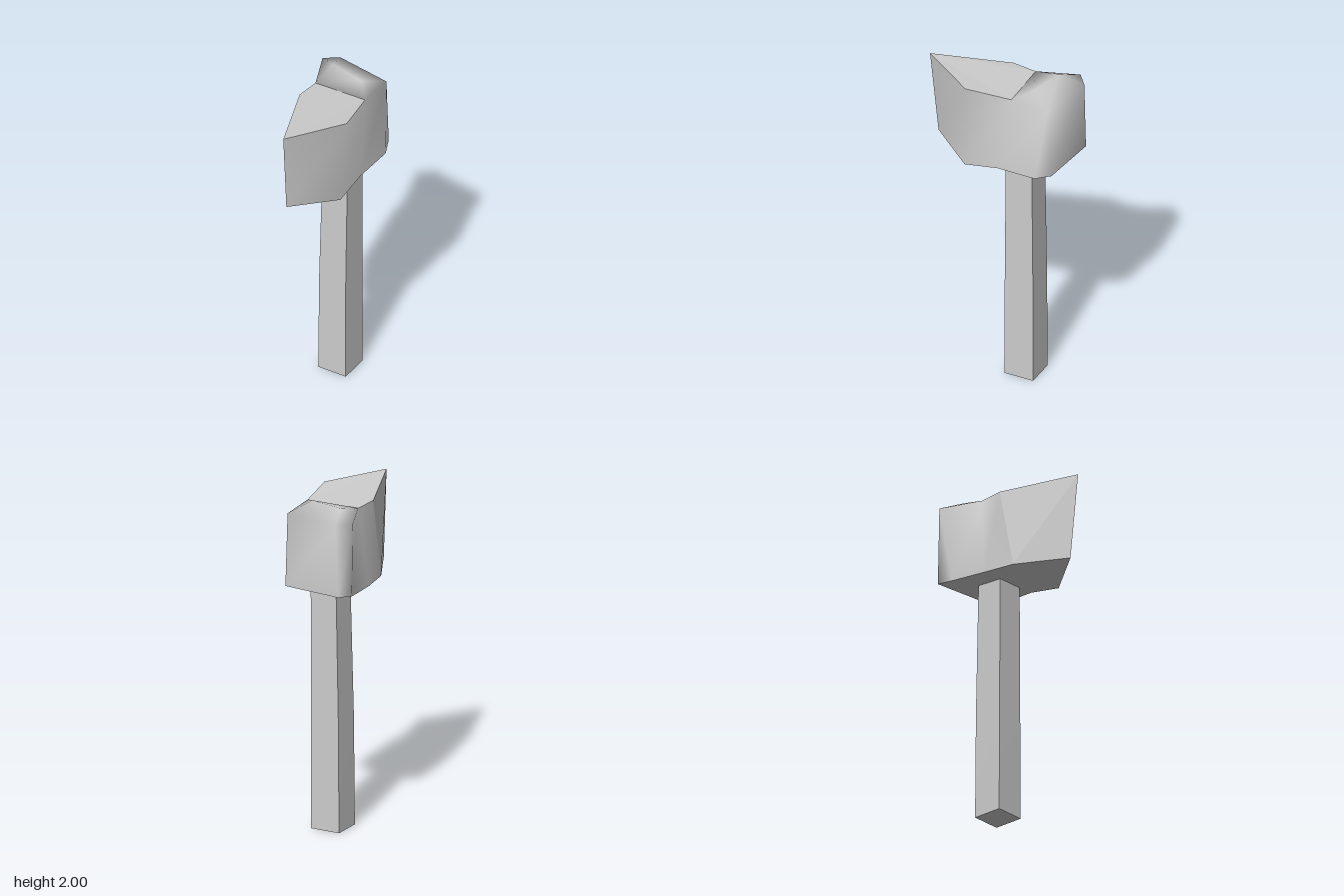
import * as THREE from 'three';
import { mergeVertices } from 'three/addons/utils/BufferGeometryUtils.js';

// Corners of the hammer head
const P = {
  // upper rim, from the front point round to the left
  tipT: [0.015, 1.995, 0.455], rT1: [0.235, 1.98, 0.115], rT2: [0.19, 1.96, -0.16], rT3: [0.19, 1.945, -0.395],
  backT: [-0.16, 1.945, -0.455], lT3: [-0.24, 1.95, -0.39], lT2: [-0.14, 1.96, -0.15], lT1: [-0.155, 1.965, 0],
  // rounded hump over the back
  humpR: [0.1, 2, -0.26], humpL: [-0.12, 2, -0.31],
  // lower rim
  tipB: [0.005, 1.475, 0.405], rB1: [0.205, 1.435, 0.135], rB2: [0.21, 1.475, -0.08], rB3: [0.225, 1.485, -0.33],
  rB4: [0.19, 1.51, -0.42], lB4: [-0.18, 1.51, -0.455], lB3: [-0.2, 1.485, -0.33], lB2: [-0.18, 1.475, -0.1],
  lB1: [-0.15, 1.475, 0.1],
};

// Builds a surface from polygons given as strings of corner names
function facets(polygons, smooth) {
  const pos = [];
  for (const polygon of polygons) {
    const c = polygon.split(' ').map((name) => P[name]);
    for (let i = 1; i < c.length - 1; i++) pos.push(...c[0], ...c[i], ...c[i + 1]);
  }
  let g = new THREE.BufferGeometry();
  g.setAttribute('position', new THREE.Float32BufferAttribute(pos, 3));
  if (smooth) g = mergeVertices(g);
  g.computeVertexNormals();
  return g;
}

export function createModel() {
  const model = new THREE.Group();
  model.name = 'hammer';
  const grey = new THREE.MeshStandardMaterial({ color: 0xcccccc });
  grey.name = 'plain grey';

  const add = (name, geometry, parent) => {
    const mesh = new THREE.Mesh(geometry, grey);
    mesh.name = name;
    parent.add(mesh);
  };

  // Head: flat top and underside, sharp front wedge, softly shaded back
  const head = new THREE.Group();
  head.name = 'head';
  model.add(head);
  add('headTop', facets(['tipT rT1 rT2 lT2 lT1'], false), head);
  add('headFrontLeft', facets(['lB1 tipB tipT lT1'], false), head);
  add('headBody', facets([
    'tipB rB1 rT1 tipT', 'rB1 rB2 rT2 rT1', 'rB2 rB3 rT3 rT2', 'rB3 rB4 rT3',
    'rB4 lB4 backT rT3',
    'lB4 lB3 lT3 backT', 'lB3 lB2 lT2 lT3', 'lB2 lB1 lT1 lT2',
    'rT2 rT3 humpR', 'rT3 backT humpL humpR', 'backT lT3 humpL', 'lT3 lT2 humpL', 'lT2 rT2 humpR humpL',
  ], true), head);
  add('headUnderside', facets([
    'tipB lB1 rB1', 'lB1 lB2 rB2 rB1', 'lB2 lB3 rB3 rB2', 'lB3 lB4 rB4 rB3',
  ], false), head);

  // Handle: square post that narrows a little and leans above its middle
  const handle = new THREE.BoxGeometry(1, 1, 1, 1, 2, 1);
  const rings = [
    { y: 0, x: 0.018, z: -0.168, w: 0.186, d: 0.186 },
    { y: 0.65, x: 0.02, z: -0.168, w: 0.18, d: 0.182 },
    { y: 1.5, x: 0.032, z: -0.171, w: 0.168, d: 0.168 },
  ];
  const p = handle.attributes.position;
  for (let i = 0; i < p.count; i++) {
    const r = rings[Math.round((p.getY(i) + 0.5) * 2)];
    p.setXYZ(i, r.x + p.getX(i) * r.w, r.y, r.z + p.getZ(i) * r.d);
  }
  handle.computeVertexNormals();
  add('handle', handle, model);

  return model;
}
